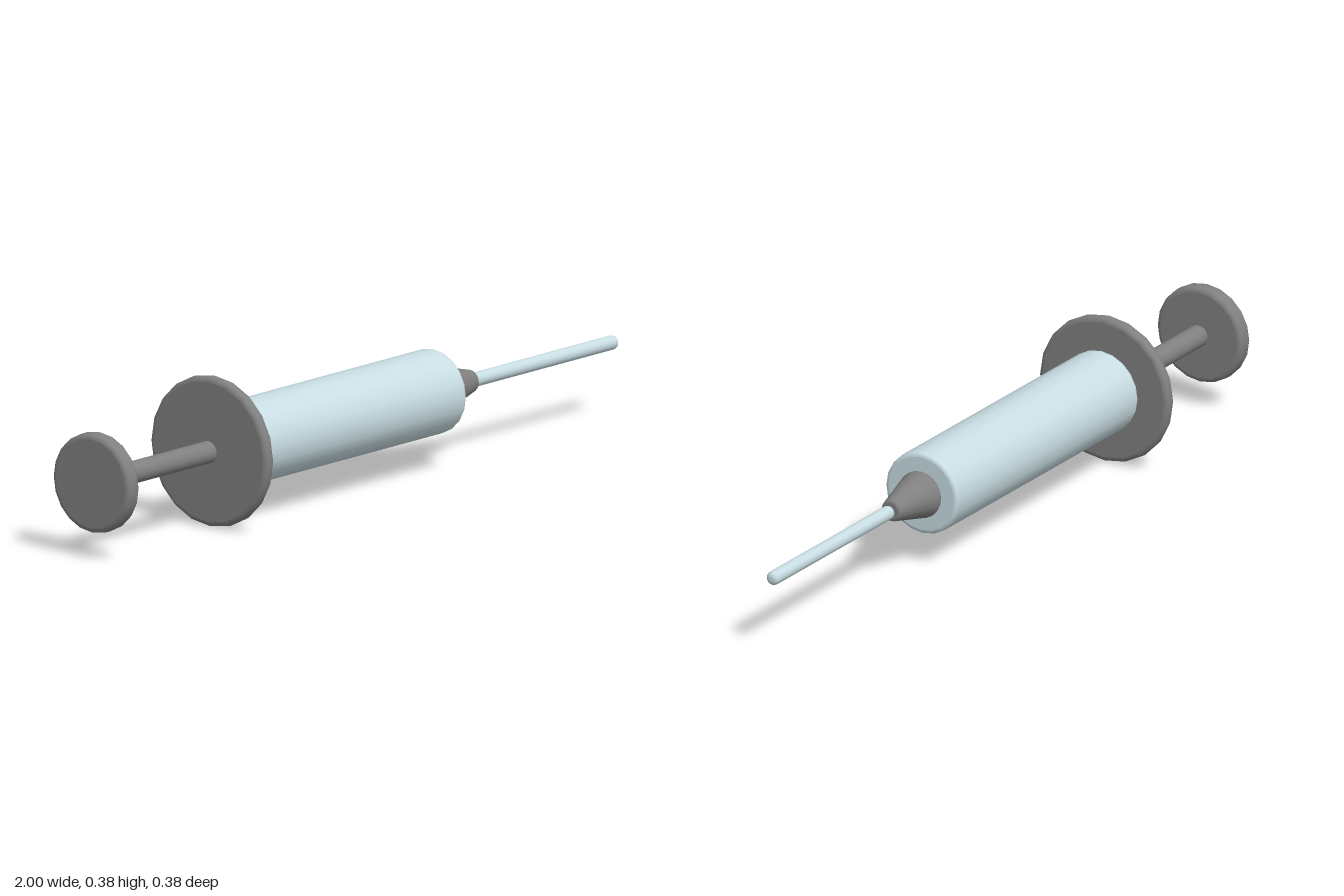
import * as THREE from 'three';

const SIDES = 20;
const AXIS_Y = 0.191;

export function createModel() {
  const model = new THREE.Group();
  const grey = new THREE.MeshStandardMaterial({ color: 0x808080 });
  grey.name = 'grey plastic';
  const pale = new THREE.MeshStandardMaterial({ color: 0xc8dde3 });
  pale.name = 'pale blue';

  // Solid of revolution along x, from x0 (radius r0) to x1 (radius r1), with rounded rims
  function turned(name, material, x0, x1, r0, r1, bevel) {
    const pts = [new THREE.Vector2(0, x0)];
    const steps = 3;
    const e = 0.001; // support loops keep caps and walls flat
    const slope = (r1 - r0) / (x1 - x0);
    pts.push(new THREE.Vector2(r0 - bevel - e, x0));
    for (let i = 0; i <= steps; i++) {
      const a = (i / steps) * Math.PI / 2;
      pts.push(new THREE.Vector2(r0 - bevel + bevel * Math.sin(a), x0 + bevel - bevel * Math.cos(a)));
    }
    pts.push(new THREE.Vector2(r0 + slope * e, x0 + bevel + e));
    pts.push(new THREE.Vector2(r1 - slope * e, x1 - bevel - e));
    for (let i = 0; i <= steps; i++) {
      const a = (i / steps) * Math.PI / 2;
      pts.push(new THREE.Vector2(r1 - bevel + bevel * Math.cos(a), x1 - bevel + bevel * Math.sin(a)));
    }
    pts.push(new THREE.Vector2(r1 - bevel - e, x1));
    pts.push(new THREE.Vector2(0, x1));
    const mesh = new THREE.Mesh(new THREE.LatheGeometry(pts, SIDES), material);
    mesh.name = name;
    mesh.rotation.z = -Math.PI / 2; // lathe axis onto +x
    mesh.position.y = AXIS_Y;
    model.add(mesh);
  }

  // Plunger
  turned('thumbRest', grey, -1.0, -0.956, 0.126, 0.126, 0.012);
  turned('plungerRod', grey, -0.958, -0.545, 0.028, 0.028, 0.006);

  // Barrel with finger flange
  turned('fingerFlange', grey, -0.551, -0.519, 0.191, 0.191, 0.012);
  turned('barrel', pale, -0.517, 0.313, 0.107, 0.107, 0.01);

  // Tapered hub and needle
  turned('needleHub', grey, 0.311, 0.453, 0.061, 0.029, 0.008);
  turned('needle', pale, 0.455, 1.0, 0.018, 0.018, 0.012);

  return model;
}
